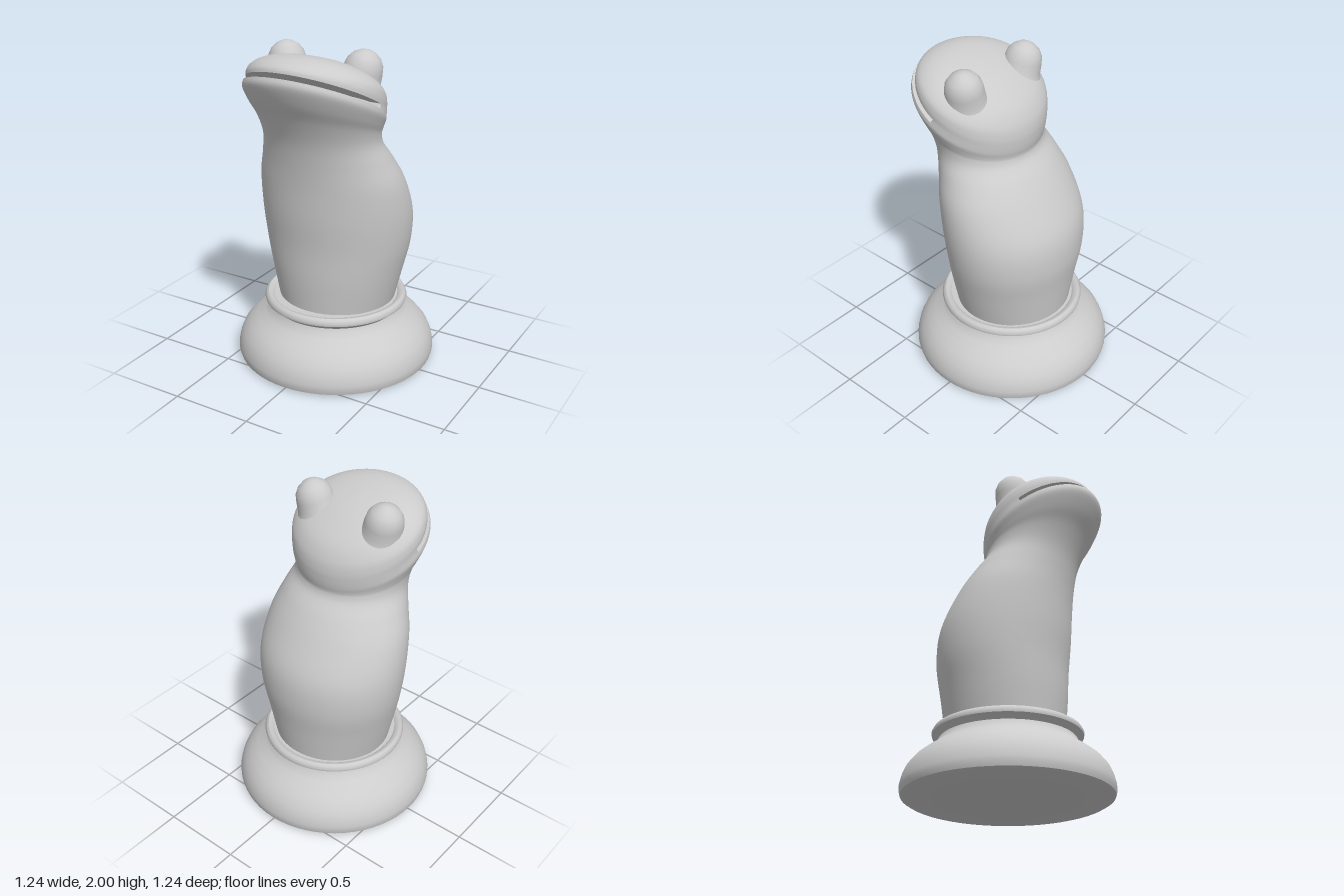
import * as THREE from 'three';
import { toCreasedNormals } from 'three/addons/utils/BufferGeometryUtils.js';

const SIDES = 64;

// Each ring is a tilted ellipse: [back z, back y, front z, front y, half width]
const BODY = [
  [-0.37, 0.40, 0.335, 0.40, 0.37],
  [-0.395, 0.60, 0.35, 0.60, 0.42],
  [-0.42, 0.80, 0.357, 0.80, 0.465],
  [-0.40, 1.00, 0.375, 1.00, 0.48],
  [-0.30, 1.20, 0.388, 1.20, 0.46],
  [-0.21, 1.34, 0.408, 1.36, 0.41],
  [-0.14, 1.42, 0.44, 1.50, 0.372],
  [-0.122, 1.455, 0.50, 1.64, 0.375],
  [-0.12, 1.475, 0.565, 1.75, 0.397],
  [-0.125, 1.50, 0.61, 1.855, 0.42],
  [-0.128, 1.52, 0.60, 1.90, 0.42],
];
const CROWN = [
  [-0.13, 1.545, 0.575, 1.922, 0.415],
  [-0.13, 1.60, 0.565, 1.945, 0.415],
  [-0.115, 1.67, 0.53, 1.967, 0.40],
  [-0.07, 1.75, 0.47, 1.985, 0.345],
  [0.01, 1.825, 0.40, 1.988, 0.26],
  [0.11, 1.895, 0.32, 1.975, 0.14],
  [0.215, 1.945, 0.217, 1.946, 0.001],
];

// Smoothly interpolate between the key rings
function refine(keys, steps) {
  const at = (i) => keys[Math.min(Math.max(i, 0), keys.length - 1)];
  const rings = [];
  for (let i = 0; i < keys.length - 1; i++) {
    for (let s = 0; s < steps; s++) {
      const t = s / steps;
      rings.push(keys[i].map((b, k) => {
        const a = at(i - 1)[k], c = at(i + 1)[k], d = at(i + 2)[k];
        return b + 0.5 * t * (c - a + t * (2 * a - 5 * b + 4 * c - d + t * (3 * (b - c) + d - a)));
      }));
    }
  }
  rings.push(keys[keys.length - 1]);
  return rings;
}

// Points of one ring; a mouth ring has its front half pulled back to the jaw hinge
function ringPoints([zb, yb, zf, yf, half], mouth) {
  const points = [];
  for (let j = 0; j < SIDES; j++) {
    const a = (j / SIDES) * Math.PI * 2;
    let w = Math.cos(a);
    if (mouth && w > 0) w *= 0.02;
    const t = (w + 1) / 2;
    points.push(half * Math.sin(a), yb + (yf - yb) * t, zb + (zf - zb) * t);
  }
  return points;
}

function loft(rings) {
  const index = [];
  for (let i = 0; i < rings.length - 1; i++) {
    for (let j = 0; j < SIDES; j++) {
      const k = (j + 1) % SIDES;
      const a = i * SIDES + j, b = i * SIDES + k;
      index.push(a, b, b + SIDES, a, b + SIDES, a + SIDES);
    }
  }
  const geometry = new THREE.BufferGeometry();
  geometry.setAttribute('position', new THREE.Float32BufferAttribute(rings.flat(), 3));
  geometry.setIndex(index);
  return toCreasedNormals(geometry, 0.9);
}

function lathe(points, segments) {
  return new THREE.LatheGeometry(points.map(([r, y]) => new THREE.Vector2(r, y)), segments);
}

export function createModel() {
  const group = new THREE.Group();
  const material = new THREE.MeshStandardMaterial({ color: 0xcccccc });
  const add = (geometry, name) => {
    const mesh = new THREE.Mesh(geometry, material);
    mesh.name = name;
    group.add(mesh);
    return mesh;
  };

  // Turned pedestal with a collar
  const pedestal = lathe([
    [0, 0], [0.59, 0], [0.615, 0.015], [0.622, 0.04], [0.622, 0.07], [0.61, 0.12], [0.59, 0.165],
    [0.55, 0.215], [0.50, 0.255], [0.45, 0.29], [0.42, 0.32], [0.41, 0.345], [0.425, 0.36],
    [0.445, 0.375], [0.448, 0.39], [0.438, 0.41], [0.425, 0.418], [0.405, 0.415], [0.39, 0.40], [0, 0.40],
  ], 64);
  add(toCreasedNormals(pedestal, 0.7), 'pedestal');

  // Seated body, neck and head in one skin, with an open mouth slit
  const lowerLip = BODY[BODY.length - 1];
  const upperLip = CROWN[0];
  add(loft([
    ...refine(BODY, 5).map((r) => ringPoints(r)),
    ringPoints(lowerLip, true),
    ringPoints(upperLip, true),
    ...refine(CROWN, 5).map((r) => ringPoints(r)),
  ]), 'bodyAndHead');

  // Bulging eyes, flared where they meet the head
  const eyeShape = lathe([
    [0.165, -0.15], [0.135, -0.1], [0.118, -0.05], [0.113, 0], [0.104, 0.045],
    [0.08, 0.082], [0.045, 0.106], [0.02, 0.114], [0, 0.116],
  ], 32);
  for (const side of [1, -1]) {
    const eye = add(eyeShape, side > 0 ? 'leftEye' : 'rightEye');
    eye.position.set(side * 0.252, 1.884, 0.13);
    eye.rotation.set(-0.12, 0, -side * 0.25);
  }
  return group;
}
